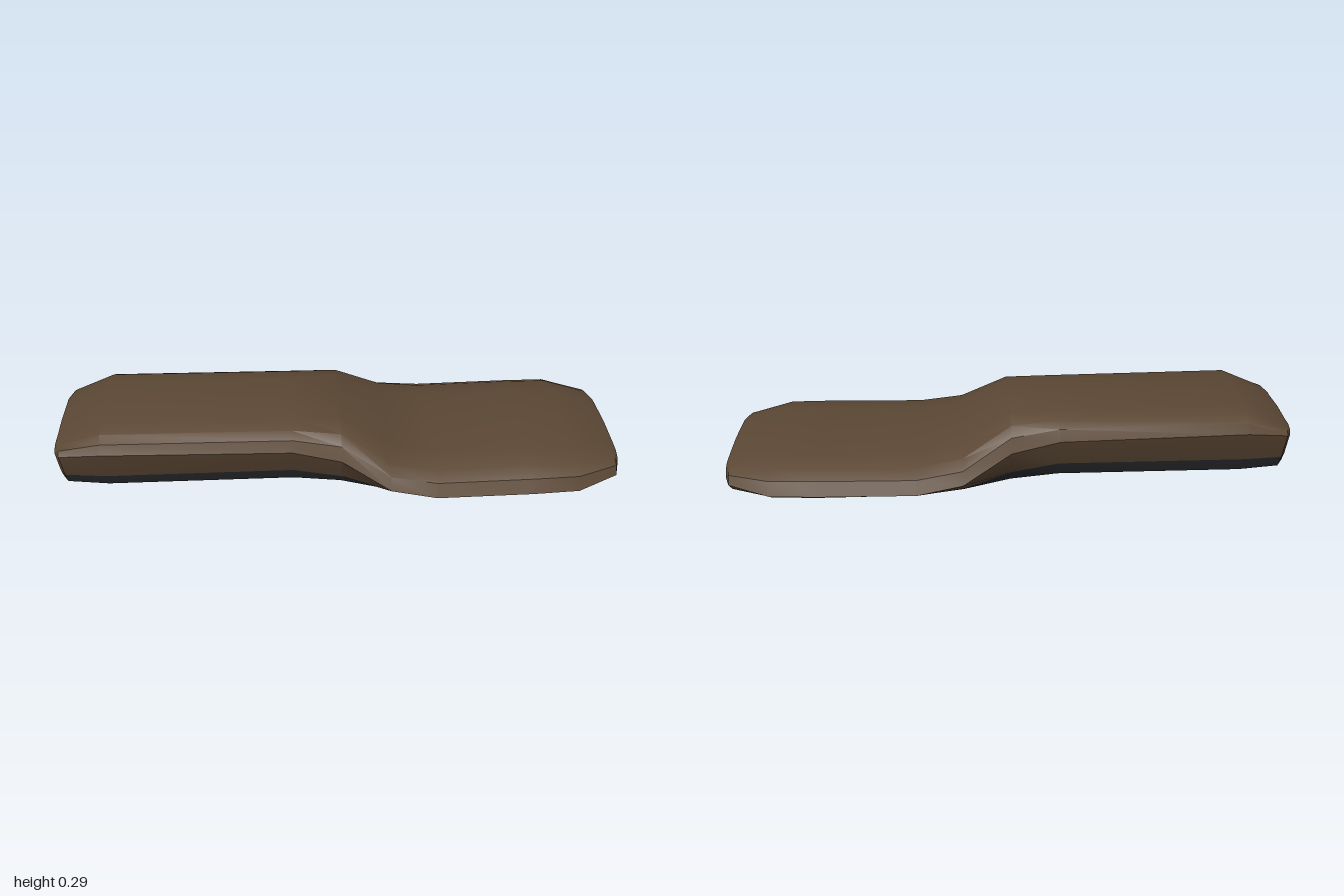
import * as THREE from 'three';
import { toCreasedNormals } from 'three/addons/utils/BufferGeometryUtils.js';

// Stations along the body: x, top y, half width, upper crease y, widest y, colour line y, bottom y
const STATIONS = [
  [-1.0, 0.212, 0.17, 0.2, 0.185, 0.092, 0.02],
  [-0.98, 0.225, 0.205, 0.212, 0.195, 0.09, 0.004],
  [-0.83, 0.29, 0.24, 0.257, 0.222, 0.1, 0],
  [-0.17, 0.283, 0.24, 0.25, 0.208, 0.1, 0],
  [0.0, 0.28, 0.26, 0.23, 0.177, 0.078, 0],
  [0.17, 0.18, 0.322, 0.135, 0.09, 0.045, 0],
  [0.33, 0.153, 0.338, 0.113, 0.065, 0.03, 0],
  [0.67, 0.16, 0.338, 0.118, 0.069, 0.03, 0],
  [0.83, 0.16, 0.334, 0.12, 0.073, 0.034, 0],
  [0.98, 0.135, 0.262, 0.11, 0.08, 0.038, 0.004],
  [1.0, 0.126, 0.205, 0.105, 0.079, 0.04, 0.015],
];

// Mirrored cross-section: top centre, round the +z side, under, and back up the -z side
function section([x, top, w, crease, wide, line, low]) {
  const half = [
    [0, top], [0.54 * w, top - 0.005], [0.8 * w, top - (top - crease) * 0.42],
    [0.935 * w, crease], [w, wide], [0.82 * w, line],
    [0.69 * w, low + (line - low) * 0.42], [0.47 * w, low + (line - low) * 0.13], [0, low],
  ];
  const other = half.slice(1, -1).reverse().map(([z, y]) => [-z, y]);
  return [...half, ...other].map(([z, y]) => [x, y, z]);
}

function loft() {
  const rings = STATIONS.map(section);
  const n = rings[0].length;
  const points = rings.flat();
  const upper = [], lower = [];

  // Skin between neighbouring sections; faces under the colour line go to the lower group
  for (let i = 0; i < rings.length - 1; i++) {
    for (let j = 0; j < n; j++) {
      const k = (j + 1) % n;
      const a = i * n + j, b = a + n, c = (i + 1) * n + k, d = i * n + k;
      (j >= 5 && j <= 10 ? lower : upper).push(a, c, b, a, d, c);
    }
  }

  // End caps
  for (const [i, dir] of [[0, -1], [rings.length - 1, 1]]) {
    const s = STATIONS[i];
    const centre = points.push([s[0], (s[1] + s[6]) / 2, 0]) - 1;
    for (let j = 0; j < n; j++) {
      const p = i * n + j, q = i * n + (j + 1) % n;
      upper.push(centre, ...(dir > 0 ? [p, q] : [q, p]));
    }
  }

  const geometry = new THREE.BufferGeometry();
  geometry.setAttribute('position', new THREE.Float32BufferAttribute(points.flat(), 3));
  geometry.setIndex([...upper, ...lower]);
  geometry.addGroup(0, upper.length, 0);
  geometry.addGroup(upper.length, lower.length, 1);
  const creased = toCreasedNormals(geometry, 0.52);
  creased.clearGroups();
  geometry.groups.forEach((g) => creased.addGroup(g.start, g.count, g.materialIndex));
  return creased;
}

export function createModel() {
  const brown = new THREE.MeshStandardMaterial({ color: 0x5c4835 });
  brown.name = 'brown';
  const charcoal = new THREE.MeshStandardMaterial({ color: 0x2a2c2e });
  charcoal.name = 'charcoal';

  const group = new THREE.Group();
  group.name = 'steppedPad';
  const body = new THREE.Mesh(loft(), [brown, charcoal]);
  body.name = 'body';
  group.add(body);
  return group;
}
